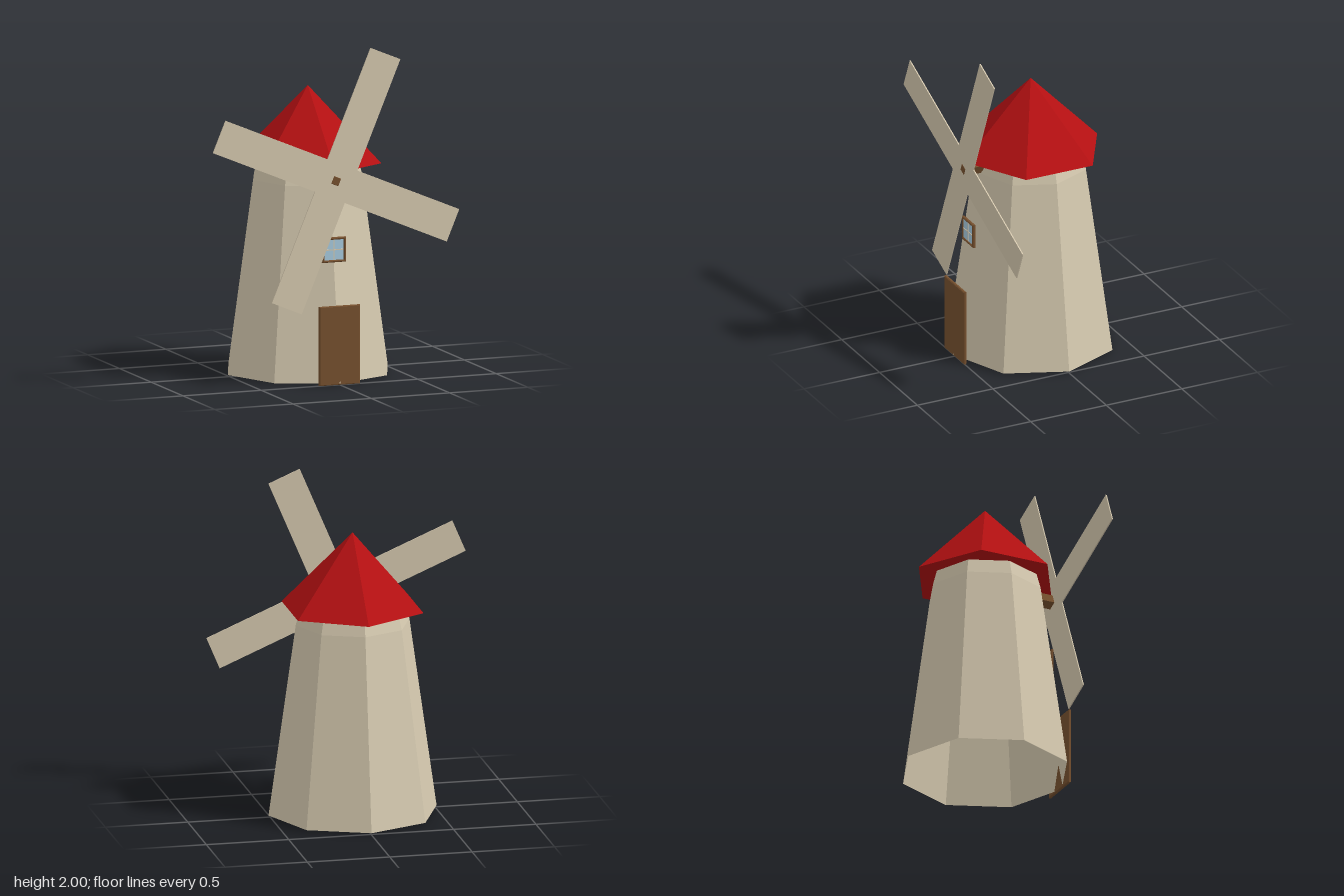
import * as THREE from 'three';

const material = (name, color, side = THREE.FrontSide) => {
  const m = new THREE.MeshStandardMaterial({ color, side, flatShading: true });
  m.name = name;
  return m;
};

// Centred rectangle outline, usable as a shape or as a hole
function rectangle(w, h, Type = THREE.Shape) {
  const p = new Type();
  p.moveTo(-w / 2, -h / 2);
  p.lineTo(w / 2, -h / 2);
  p.lineTo(w / 2, h / 2);
  p.lineTo(-w / 2, h / 2);
  p.closePath();
  return p;
}

// Chamfered plate with outer size w x h x d, centred on the origin
function chamfered(w, h, d, c, hole) {
  const shape = rectangle(w - 2 * c, h - 2 * c);
  if (hole) shape.holes.push(rectangle(hole + 2 * c, hole + 2 * c, THREE.Path));
  return new THREE.ExtrudeGeometry(shape, {
    depth: d - 2 * c, bevelEnabled: true, bevelThickness: c, bevelSize: c, bevelSegments: 1,
  }).translate(0, 0, c - d / 2);
}

export function createModel() {
  const model = new THREE.Group();
  model.name = 'windmill';

  const plaster = material('plaster', 0xd6cab0, THREE.DoubleSide);
  const canvas = material('canvas', 0xd5c8ae);
  const red = material('roofRed', 0xb51012);
  const wood = material('wood', 0x76502e);
  const blue = material('glassBlue', 0xa6cade);

  const add = (parent, name, geometry, mat, x, y, z) => {
    const mesh = new THREE.Mesh(geometry, mat);
    mesh.name = name;
    mesh.position.set(x, y, z);
    parent.add(mesh);
    return mesh;
  };

  // Eight-sided hollow tower with a narrower collar under the roof
  const rings = [[0.51, 0.01], [0.345, 1.17], [0.32, 1.262]];
  ['towerWall', 'towerCollar'].forEach((name, i) => {
    const [r0, y0] = rings[i], [r1, y1] = rings[i + 1];
    add(model, name, new THREE.CylinderGeometry(r1, r0, y1 - y0, 8, 1, true), plaster, 0, (y0 + y1) / 2, 0);
  });

  // Six-sided pointed roof
  add(model, 'roof', new THREE.ConeGeometry(0.44, 0.46, 6), red, 0, 1.49, 0);

  // Door
  add(model, 'door', chamfered(0.26, 0.475, 0.02, 0.005), wood, 0, 0.2375, 0.498);

  // Window: frame, pane and crossed glazing bars
  const windowGroup = new THREE.Group();
  windowGroup.name = 'window';
  windowGroup.position.set(0, 0.797, 0.41);
  model.add(windowGroup);
  add(windowGroup, 'windowFrame', chamfered(0.15, 0.15, 0.022, 0.005, 0.122), wood, 0, 0, 0);
  add(windowGroup, 'windowPane', new THREE.BoxGeometry(0.13, 0.13, 0.006), blue, 0, 0, 0);
  add(windowGroup, 'glazingBarUpright', new THREE.BoxGeometry(0.006, 0.126, 0.006), canvas, 0, 0, 0.003);
  add(windowGroup, 'glazingBarLevel', new THREE.BoxGeometry(0.126, 0.006, 0.006), canvas, 0, 0, 0.003);

  // Rotor: cross-shaped sails on a square axle, turned together
  const rotor = new THREE.Group();
  rotor.name = 'rotor';
  rotor.position.set(0, 1.215, 0);
  rotor.rotation.z = -THREE.MathUtils.degToRad(22.9);
  model.add(rotor);

  const w = 0.103, tip = 0.81;
  const cross = new THREE.Shape();
  for (let i = 0; i < 4; i++) {
    const axis = new THREE.Vector2(1, 0).rotateAround(new THREE.Vector2(), i * Math.PI / 2);
    for (const [along, across] of [[tip, -w], [tip, w], [w, w]]) {
      const x = along * axis.x - across * axis.y, y = along * axis.y + across * axis.x;
      if (cross.curves.length === 0 && i === 0 && across < 0) cross.moveTo(x, y);
      else cross.lineTo(x, y);
    }
  }
  cross.closePath();
  add(rotor, 'sails', new THREE.ExtrudeGeometry(cross, { depth: 0.007, bevelEnabled: false }), canvas, 0, 0, 0.441);
  add(rotor, 'axle', chamfered(0.06, 0.06, 0.132, 0.008), wood, 0, 0, 0.384);

  return model;
}
